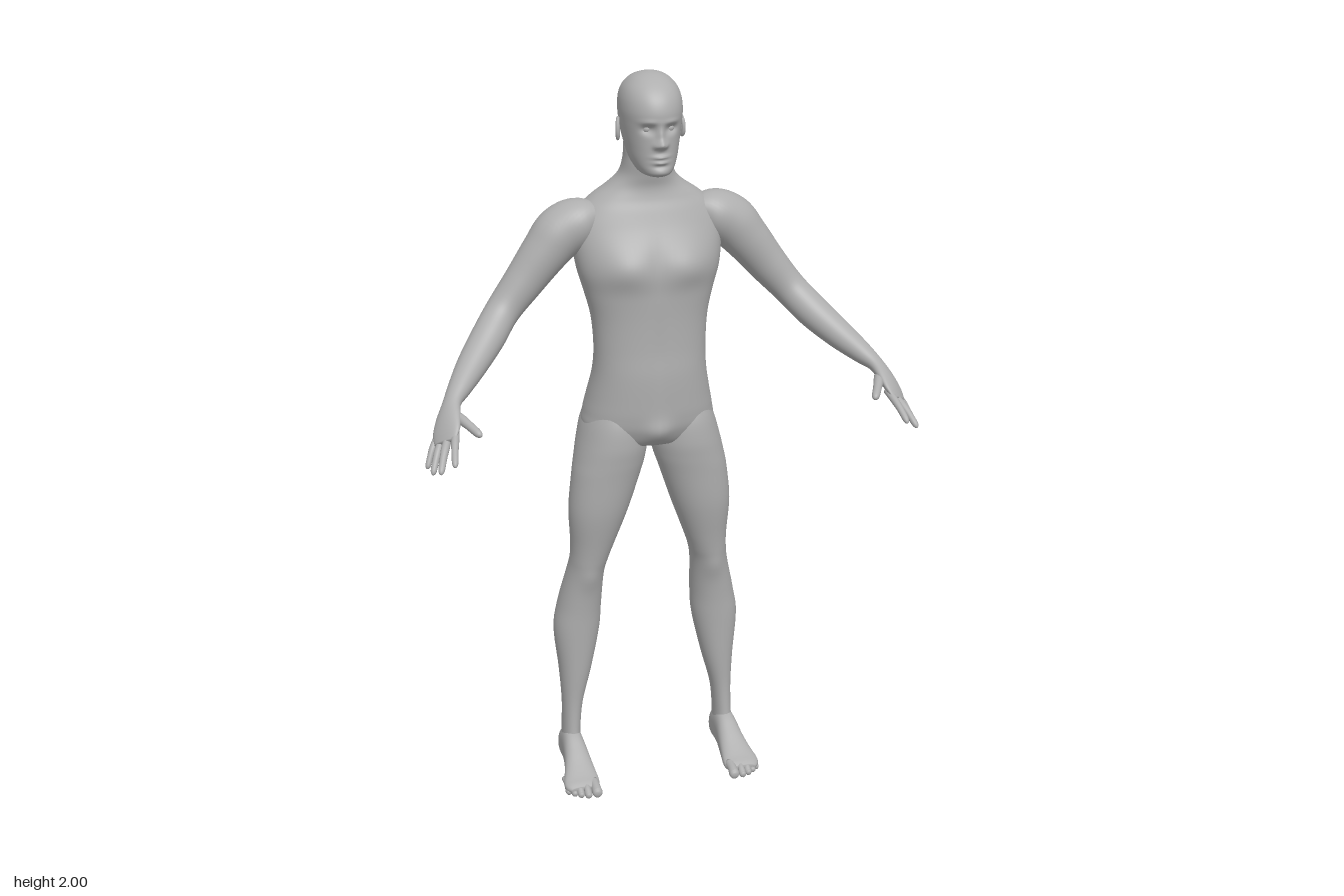
import * as THREE from 'three';

const skinMat = new THREE.MeshStandardMaterial({ color: 0xaeaeae });
skinMat.name = 'matte grey';
const V3 = (x, y, z) => new THREE.Vector3(x, y, z);

// Smoothly interpolates a table of section rows, column by column
function resample(rows, steps) {
  const out = [], last = rows.length - 1;
  for (let i = 0; i < last; i++) {
    const [a, b, c, d] = [rows[Math.max(i - 1, 0)], rows[i], rows[i + 1], rows[Math.min(i + 2, last)]];
    for (let k = 0; k < steps; k++) {
      const t = k / steps;
      out.push(b.map((_, j) => {
        const m0 = (c[j] - a[j]) / 2, m1 = (d[j] - b[j]) / 2, e = c[j] - b[j];
        return b[j] + t * (m0 + t * (3 * e - 2 * m0 - m1 + t * (m0 + m1 - 2 * e)));
      }));
    }
  }
  out.push(rows[last]);
  return out;
}

// Joins rings of points into a closed smooth skin
function skin(rings) {
  const n = rings[0].length, pos = [], idx = [];
  rings.forEach(r => r.forEach(p => pos.push(p.x, p.y, p.z)));
  for (let i = 0; i < rings.length - 1; i++) for (let j = 0; j < n; j++) {
    const a = i * n + j, b = i * n + (j + 1) % n;
    idx.push(a, a + n, b, b, a + n, b + n);
  }
  const cap = (ring, base, flip) => {
    const c = ring.reduce((s, p) => s.add(p), V3(0, 0, 0)).divideScalar(n), k = pos.length / 3;
    pos.push(c.x, c.y, c.z);
    for (let j = 0; j < n; j++) {
      const a = base + j, b = base + (j + 1) % n;
      idx.push(k, flip ? b : a, flip ? a : b);
    }
  };
  cap(rings[0], 0, false);
  cap(rings[rings.length - 1], (rings.length - 1) * n, true);
  const g = new THREE.BufferGeometry();
  g.setAttribute('position', new THREE.Float32BufferAttribute(pos, 3));
  g.setIndex(idx);
  g.computeVertexNormals();
  return g;
}

// Upright loft; rows are [y, xMin, xMax, zMin, zMax], rising in y
function column(rows, seg, steps, power = 2) {
  const f = v => Math.sign(v) * Math.abs(v) ** (2 / power);
  return skin(resample(rows, steps).map(([y, x0, x1, z0, z1]) =>
    Array.from({ length: seg }, (_, j) => {
      const t = j / seg * Math.PI * 2;
      return V3((x0 + x1) / 2 + (x1 - x0) / 2 * f(Math.cos(t)), y, (z0 + z1) / 2 + (z1 - z0) / 2 * f(Math.sin(t)));
    })));
}

// Loft along a path; rows are [x, y, z, thickness, width], width follows ref
function limb(rows, seg, steps, ref = V3(0.05, -0.03, -0.045)) {
  const s = resample(rows, steps), at = i => V3(...s[Math.min(Math.max(i, 0), s.length - 1)].slice(0, 3));
  return skin(s.map(([x, y, z, ru, rv], i) => {
    const T = at(i + 1).sub(at(i - 1)).normalize();
    const V = ref.clone().addScaledVector(T, -ref.dot(T)).normalize();
    const U = T.clone().cross(V);
    return Array.from({ length: seg }, (_, j) => {
      const t = j / seg * Math.PI * 2;
      return V3(x, y, z).addScaledVector(U, ru * Math.cos(t)).addScaledVector(V, rv * Math.sin(t));
    });
  }));
}

// Soft sculpting: each bump is [centre, spread, push in z]; x-offset bumps are mirrored
function sculpt(g, bumps) {
  const p = g.attributes.position;
  const all = bumps.flatMap(b => b[0][0] ? [b, [[-b[0][0], b[0][1], b[0][2]], b[1], b[2]]] : [b]);
  for (let i = 0; i < p.count; i++) {
    let dz = 0;
    for (const [c, s, push] of all) {
      const q = [p.getX(i), p.getY(i), p.getZ(i)].reduce((t, v, k) => t + ((v - c[k]) / s[k]) ** 2, 0);
      dz += push * Math.exp(-q);
    }
    p.setZ(i, p.getZ(i) + dz);
  }
  g.computeVertexNormals();
  return g;
}

function mirrored(g) {
  const m = g.clone().scale(-1, 1, 1), a = m.index.array;
  for (let i = 0; i < a.length; i += 3) [a[i], a[i + 1]] = [a[i + 1], a[i]];
  m.computeVertexNormals();
  return m;
}

export function createModel() {
  const model = new THREE.Group();
  model.name = 'human figure';
  const add = (name, g) => {
    const m = new THREE.Mesh(g, skinMat);
    m.name = name;
    model.add(m);
  };
  const pair = (name, g) => { add('left ' + name, g); add('right ' + name, mirrored(g)); };
  const centred = rows => rows.map(([y, w, zb, zf]) => [y, -w, w, zb, zf]);

  // Torso and neck
  add('torso', sculpt(column(centred([
    [0.985, 0.05, -0.17, -0.08], [1.0, 0.14, -0.22, -0.04], [1.04, 0.18, -0.258, -0.018],
    [1.08, 0.178, -0.266, -0.009], [1.13, 0.168, -0.254, -0.006], [1.2, 0.155, -0.228, -0.005],
    [1.27, 0.152, -0.214, -0.009], [1.35, 0.158, -0.222, -0.01], [1.42, 0.175, -0.238, -0.008],
    [1.48, 0.192, -0.25, -0.006], [1.54, 0.2, -0.256, -0.02], [1.6, 0.2, -0.254, -0.047],
    [1.64, 0.178, -0.245, -0.063], [1.67, 0.145, -0.235, -0.075], [1.7, 0.102, -0.222, -0.08],
    [1.73, 0.074, -0.208, -0.074], [1.77, 0.064, -0.196, -0.066], [1.81, 0.062, -0.19, -0.07],
    [1.85, 0.05, -0.18, -0.08]]), 80, 6, 2.2), [
    [[0.085, 1.5, -0.02], [0.06, 0.045, 0.07], 0.014],      // chest
    [[0, 1.5, 0], [0.02, 0.07, 0.05], -0.006],              // breastbone
    [[0, 1.26, 0], [0.012, 0.12, 0.05], -0.004],            // belly line
    [[0, 1.04, -0.02], [0.035, 0.035, 0.04], 0.016],        // groin
    [[0, 1.38, -0.23], [0.022, 0.22, 0.05], 0.016],         // spine
    [[0.09, 1.57, -0.24], [0.055, 0.07, 0.06], -0.012],     // shoulder blade
    [[0.085, 1.07, -0.25], [0.06, 0.06, 0.07], -0.018],     // buttock
    [[0, 1.05, -0.26], [0.018, 0.06, 0.06], 0.045],         // cleft
  ]));

  // Head and face
  add('head', sculpt(column(centred([
    [1.742, 0.012, -0.07, -0.02], [1.75, 0.038, -0.12, 0.004], [1.765, 0.051, -0.15, 0.01],
    [1.79, 0.062, -0.175, 0.008], [1.82, 0.069, -0.195, 0.007], [1.85, 0.075, -0.208, 0.006],
    [1.88, 0.079, -0.215, 0.008], [1.91, 0.081, -0.217, 0.009], [1.94, 0.078, -0.212, -0.001],
    [1.965, 0.068, -0.195, -0.021], [1.985, 0.049, -0.168, -0.05], [1.996, 0.026, -0.137, -0.08],
    [2.0, 0.002, -0.112, -0.108]]), 96, 8, 2.15), [
    [[0, 1.833, 0], [0.013, 0.012, 0.05], 0.021],           // nose tip
    [[0, 1.855, 0], [0.009, 0.022, 0.05], 0.01],            // nose bridge
    [[0.013, 1.829, 0], [0.007, 0.007, 0.05], 0.007],       // nostril
    [[0.03, 1.87, 0], [0.017, 0.012, 0.05], -0.014],        // eye socket
    [[0.03, 1.889, 0], [0.022, 0.007, 0.05], 0.004],        // brow
    [[0, 1.8, 0], [0.02, 0.005, 0.05], 0.009],              // upper lip
    [[0, 1.786, 0], [0.018, 0.005, 0.05], 0.009],           // lower lip
    [[0, 1.775, 0], [0.02, 0.005, 0.05], -0.003],           // chin crease
    [[0, 1.76, 0], [0.022, 0.01, 0.05], 0.005],             // chin
  ]));
  pair('eye', new THREE.SphereGeometry(0.012, 16, 12).translate(0.03, 1.87, -0.021));
  const earPlace = g => g.rotateX(-0.2).rotateY(0.3).translate(0.084, 1.855, -0.108);
  pair('ear rim', earPlace(new THREE.TorusGeometry(0.014, 0.005, 10, 24).rotateY(Math.PI / 2).scale(1, 1.65, 1)));
  pair('ear', earPlace(new THREE.SphereGeometry(1, 16, 12).scale(0.005, 0.026, 0.015)));

  // Legs
  pair('leg', sculpt(column([
    [0.02, 0.205, 0.25, -0.2, -0.11], [0.06, 0.2, 0.252, -0.205, -0.1], [0.12, 0.199, 0.25, -0.197, -0.107],
    [0.2, 0.19, 0.249, -0.195, -0.11], [0.3, 0.164, 0.255, -0.21, -0.105], [0.42, 0.138, 0.266, -0.227, -0.1],
    [0.5, 0.132, 0.254, -0.229, -0.095], [0.6, 0.127, 0.231, -0.208, -0.082], [0.65, 0.117, 0.223, -0.193, -0.07],
    [0.7, 0.1, 0.222, -0.19, -0.06], [0.8, 0.063, 0.227, -0.195, -0.04], [0.9, 0.03, 0.217, -0.207, -0.03],
    [0.95, 0.014, 0.208, -0.226, -0.025], [1.0, 0.006, 0.197, -0.249, -0.022], [1.06, 0.015, 0.18, -0.258, -0.028],
    [1.12, 0.05, 0.15, -0.22, -0.05]], 48, 6, 2.1), [
    [[0.178, 0.6, -0.08], [0.03, 0.035, 0.04], 0.006],      // kneecap
    [[0.178, 0.62, -0.2], [0.02, 0.05, 0.04], 0.006],       // knee hollow
  ]));

  // Feet, lofted from heel to ball and laid down; rows are [z, xMin, xMax, -yTop, -yBottom]
  pair('foot', column([
    [-0.217, 0.222, 0.232, -0.04, -0.02], [-0.208, 0.206, 0.249, -0.065, -0.006], [-0.18, 0.197, 0.256, -0.1, 0],
    [-0.14, 0.196, 0.257, -0.115, 0], [-0.1, 0.194, 0.26, -0.108, 0], [-0.06, 0.19, 0.265, -0.086, 0],
    [-0.02, 0.186, 0.274, -0.062, 0], [0.015, 0.183, 0.283, -0.043, 0], [0.036, 0.187, 0.28, -0.034, -0.002],
    [0.05, 0.2, 0.268, -0.026, -0.008]], 40, 5, 2.4).rotateX(Math.PI / 2));
  [[0.2, 0.079, 0.0145], [0.225, 0.077, 0.0105], [0.244, 0.069, 0.01], [0.26, 0.057, 0.0095], [0.274, 0.043, 0.009]]
    .forEach(([x, z, r], i) => pair('toe ' + (i + 1), limb([
      [x, 0.022, z - 0.06, r, r], [x, 0.02, z - 0.03, r * 0.9, r * 0.9], [x, r, z - 0.012, r, r],
      [x, r, z - 0.003, r * 0.75, r * 0.75], [x, r, z, r * 0.25, r * 0.25]], 14, 4, V3(1, 0, 0))));

  // Arms, running from the shoulder into the palm
  pair('arm', limb([
    [0.12, 1.612, -0.155, 0.03, 0.05], [0.175, 1.604, -0.152, 0.064, 0.073], [0.23, 1.578, -0.148, 0.071, 0.07],
    [0.275, 1.53, -0.143, 0.063, 0.062], [0.335, 1.455, -0.137, 0.054, 0.052], [0.395, 1.385, -0.122, 0.046, 0.046],
    [0.445, 1.33, -0.075, 0.045, 0.046], [0.5, 1.28, -0.012, 0.039, 0.041], [0.545, 1.243, 0.05, 0.029, 0.032],
    [0.572, 1.22, 0.09, 0.02, 0.027], [0.588, 1.193, 0.125, 0.018, 0.038], [0.599, 1.168, 0.155, 0.014, 0.043],
    [0.607, 1.148, 0.178, 0.007, 0.034]], 40, 6));

  // Fingers: knuckle, tip, radius
  const digits = {
    thumb: [[0.572, 1.2, 0.115], [0.522, 1.173, 0.222], 0.0125],
    'index finger': [[0.577, 1.172, 0.165], [0.598, 1.115, 0.268], 0.0098],
    'middle finger': [[0.596, 1.158, 0.163], [0.632, 1.093, 0.252], 0.0102],
    'ring finger': [[0.611, 1.147, 0.15], [0.646, 1.078, 0.212], 0.0096],
    'little finger': [[0.622, 1.142, 0.13], [0.653, 1.078, 0.168], 0.0085],
  };
  for (const [name, [a, b, r]] of Object.entries(digits)) {
    const row = (t, k) => [...V3(...a).lerp(V3(...b), t).add(V3(0.2, 0.5, 0.2).multiplyScalar(0.03 * t * (1 - t))), r * k, r * k];
    pair(name, limb([row(0, 1), row(0.35, 1.05), row(0.6, 0.92), row(0.86, 0.85), row(0.96, 0.6), row(1, 0.2)], 16, 4));
  }
  return model;
}
